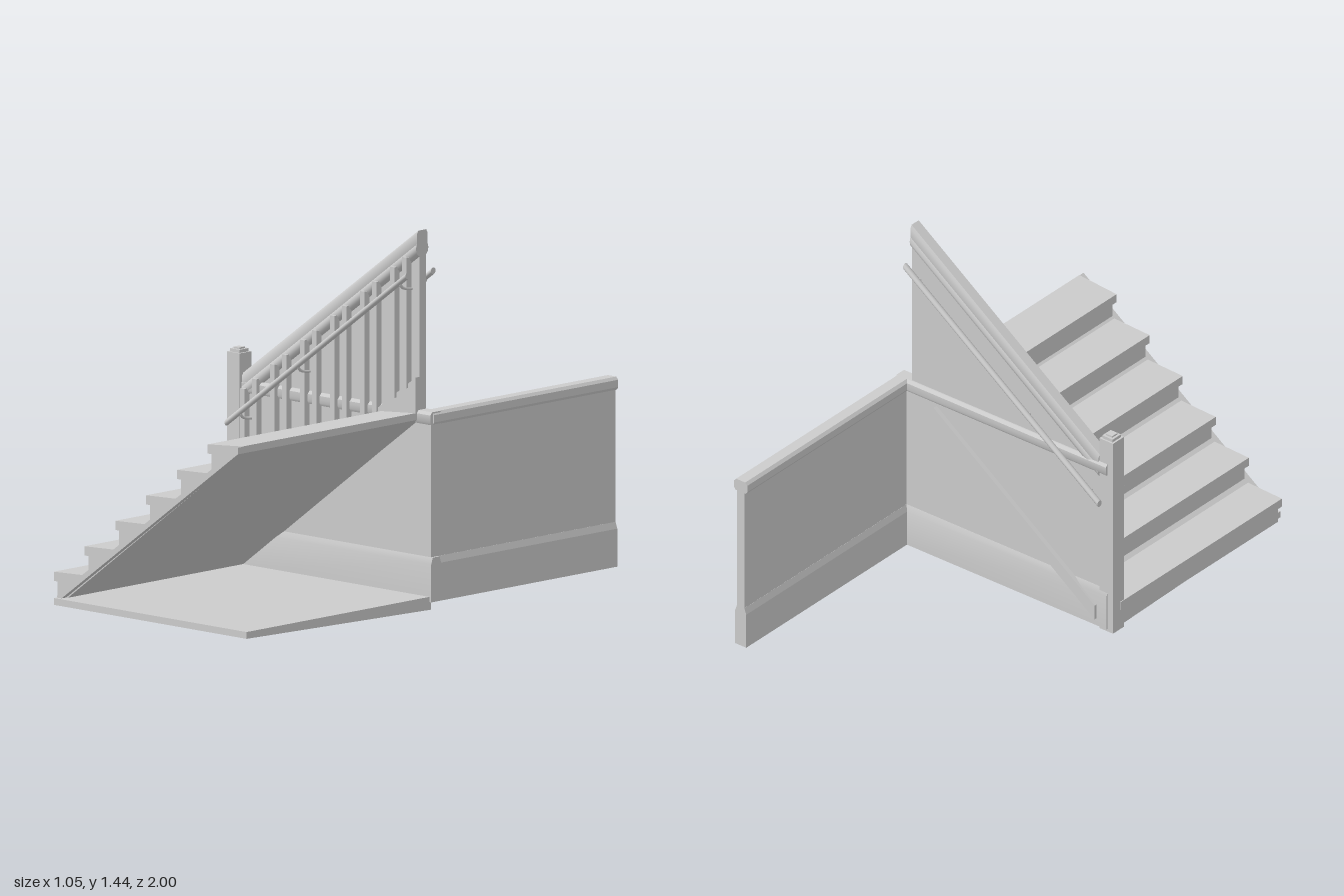
import * as THREE from 'three';
import { toCreasedNormals } from 'three/addons/utils/BufferGeometryUtils.js';

const SLOPE = 0.725;

export function createModel() {
  const group = new THREE.Group();
  const material = new THREE.MeshStandardMaterial({ color: 0xcccccc });

  const add = (name, geometry) => {
    const mesh = new THREE.Mesh(geometry, material);
    mesh.name = name;
    group.add(mesh);
    return mesh;
  };
  const box = (name, w, h, d, x, y, z) =>
    add(name, new THREE.BoxGeometry(w, h, d).translate(x, y, z));
  const extrude = (points, depth) =>
    new THREE.ExtrudeGeometry(new THREE.Shape(points.map(p => new THREE.Vector2(...p))),
      { depth, bevelEnabled: false });

  // Run a (z, y) profile along x from x0 to x1, rising with the given slope
  const bar = (name, profile, x0, x1, slope = 0, y0 = 0) => {
    const g = extrude(profile.map(([z, y]) => [-z, y]), x1 - x0).rotateY(Math.PI / 2);
    const p = g.attributes.position;
    for (let i = 0; i < p.count; i++) p.setY(i, p.getY(i) + y0 + slope * p.getX(i));
    g.translate(x0, 0, 0);
    return add(name, toCreasedNormals(g, 0.7));
  };
  const rect = (a0, a1, b0, b1) => [[a0, b0], [a1, b0], [a1, b1], [a0, b1]];
  const circle = (cz, cy, r, n = 12) => Array.from({ length: n }, (_, i) => {
    const a = i / n * Math.PI * 2;
    return [cz + r * Math.cos(a), cy + r * Math.sin(a)];
  });

  // Floor, its underside tapering towards the front edge
  bar('floor', [[0, 0], [1, 0.024], [1, 0.05], [0, 0.05]], -0.49, 0.51);

  // Stair body with overhanging, slightly tilted treads
  const steps = [];
  for (let i = 0; i < 6; i++) {
    const x = -0.53 + 0.16 * i, y = 0.14 + 0.118 * i;
    steps.push([x + 0.02, i ? y - 0.11 : 0.03], [x + 0.02, y - 0.035], [x, y - 0.035], [x, y]);
  }
  steps.push([0.45, 0.745], [0.45, 0.72], [-0.47, 0.04]);
  add('stairs', extrude(steps, 0.96));
  bar('stairUnderside', rect(0, 0.985, 0, 0.025), -0.49, 0.45, 0.73, 0.032);

  // Stair wall and side wall
  add('stairWall', extrude([[-0.5, 0.03], [0.5, 0.03], [0.5, 0.73], [0.45, 0.73],
    [0.45, 1.38], [-0.5, 0.69]], 0.035).translate(0, 0, -0.035));
  box('sideWall', 0.035, 0.7, 1, 0.493, 0.38, -0.5);

  // Wall caps and baseboards share these sections, centred across the wall
  const cap = [[-0.026, 0.706], [0.026, 0.706], [0.032, 0.716], [0.032, 0.744],
    [0.022, 0.755], [-0.022, 0.755], [-0.032, 0.744], [-0.032, 0.716]];
  const base = [[-0.027, 0.03], [0.027, 0.03], [0.027, 0.175], [0.018, 0.2],
    [-0.018, 0.2], [-0.027, 0.175]];
  for (const [name, section] of [['Cap', cap], ['Baseboard', base]]) {
    bar('stairWall' + name, section.map(([a, y]) => [a - 0.018, y]), -0.5, 0.52);
    add('sideWall' + name, extrude(section.map(([a, y]) => [a + 0.493, y]), 1).translate(0, 0, -1));
  }

  // Raised stringer on the back of the stair wall
  bar('backStringer', rect(-0.055, -0.03, 0, 0.06), -0.45, 0.33, 0.73, 0.06);

  // Sloping skirt above the treads
  bar('skirt', rect(-0.002, 0.022, -0.16, 0), -0.46, 0.45, 0.715, 0.23);

  // Sloping top rail: broad cap over a rounded lower moulding
  bar('topRail', [[-0.04, 0.04], [0.009, 0.04], [0.013, 0.05], [0.013, 0.088], [0.005, 0.1],
    [-0.037, 0.1], [-0.044, 0.088], [-0.044, 0.05]], -0.46, 0.45, SLOPE, 0.68);
  bar('topRailMoulding', circle(-0.015, 0.03, 0.034), -0.46, 0.45, SLOPE, 0.68);

  // Two balusters per tread
  for (let i = 0; i < 6; i++) {
    for (const offset of [-0.44, -0.378]) {
      const x = offset + 0.156 * i;
      const bottom = 0.22 + 0.715 * (x + 0.46), top = 0.71 + SLOPE * (x + 0.46);
      box('baluster', 0.022, top - bottom, 0.028, x, (top + bottom) / 2, 0.018);
    }
  }

  // Handrails on both faces, with wall brackets
  for (const [name, z] of [['frontHandrail', 0.063], ['backHandrail', -0.075]]) {
    bar(name, circle(z, 0.017, 0.013), -0.49, 0.45, SLOPE, 0.577);
    for (const x of [-0.42, -0.12, 0.41]) {
      const y = 0.59 + SLOPE * (x + 0.49);
      const curve = new THREE.QuadraticBezierCurve3(new THREE.Vector3(x, y, z),
        new THREE.Vector3(x, y - 0.03, z), new THREE.Vector3(x, y - 0.03, -0.018));
      add('handrailBracket', new THREE.TubeGeometry(curve, 8, 0.006, 6));
    }
  }

  // Newel post with a stepped cap
  box('newelPost', 0.066, 0.835, 0.065, -0.494, 0.4375, -0.008);
  box('newelCap', 0.05, 0.012, 0.05, -0.494, 0.861, -0.008);
  box('newelCapTop', 0.03, 0.008, 0.03, -0.494, 0.869, -0.008);

  return group;
}
